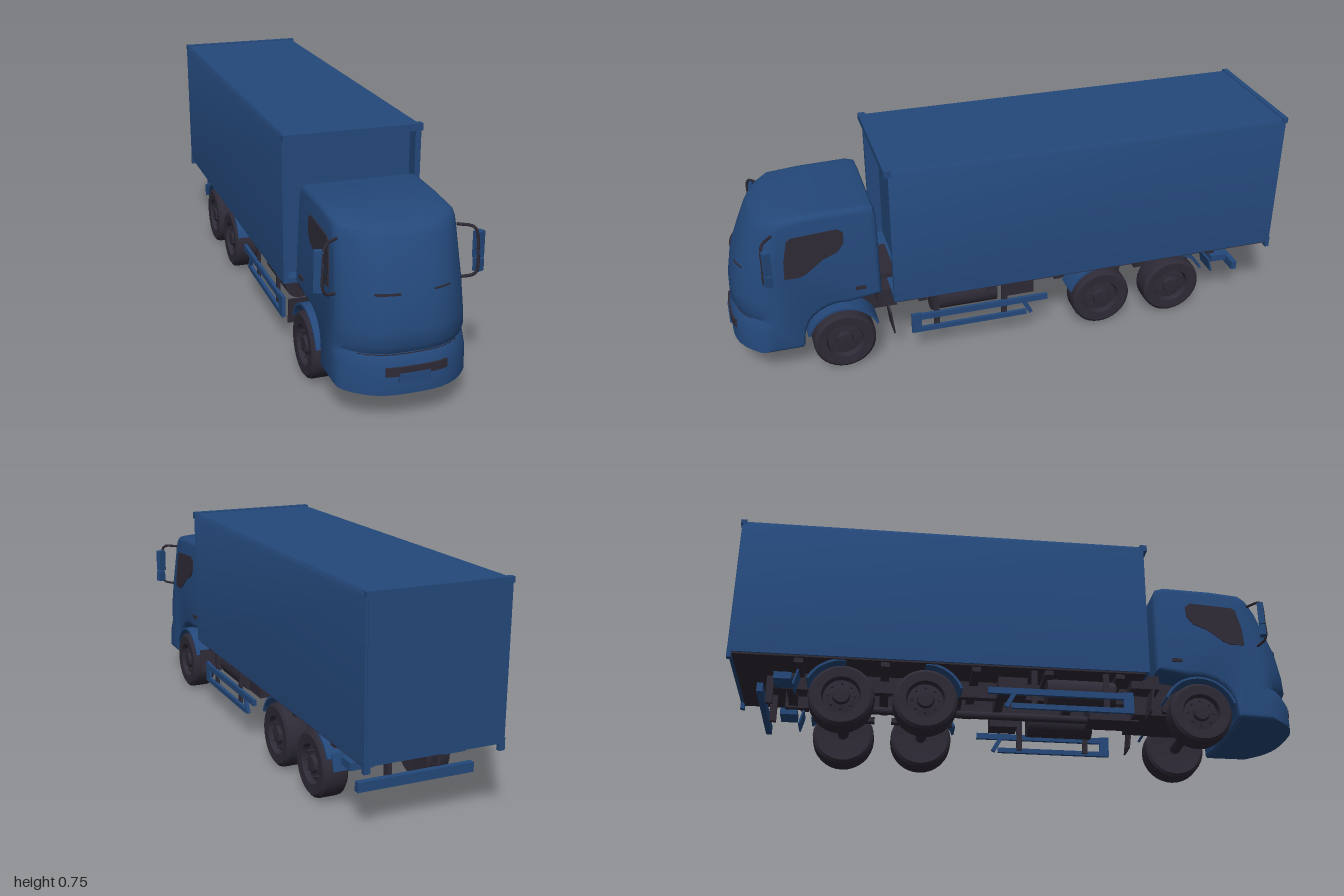
import * as THREE from 'three';
import { toCreasedNormals } from 'three/addons/utils/BufferGeometryUtils.js';

const paint = new THREE.MeshStandardMaterial({ color: 0x24487a, side: THREE.DoubleSide });
paint.name = 'blue paint';
const dark = new THREE.MeshStandardMaterial({ color: 0x2e2a36, side: THREE.DoubleSide });
dark.name = 'dark rubber and glass';

export function createModel() {
  const truck = new THREE.Group();
  truck.name = 'boxTruck';

  const add = (name, geo, mat, x = 0, y = 0, z = 0, parent = truck) => {
    const m = new THREE.Mesh(geo, mat);
    m.name = name;
    m.position.set(x, y, z);
    parent.add(m);
    return m;
  };
  const box = (name, mat, w, h, d, x, y, z, parent) =>
    add(name, new THREE.BoxGeometry(w, h, d), mat, x, y, z, parent);
  const points = (list) => list.map(([a, b]) => new THREE.Vector2(a, b));

  // Side profile drawn as (z, y), extruded across x and centred on x = 0
  const sideExtrude = (shape, width, bevel = 0, steps = 1) => {
    const g = new THREE.ExtrudeGeometry(shape, {
      depth: width - 2 * bevel, steps, curveSegments: 14,
      bevelEnabled: bevel > 0, bevelSize: bevel, bevelThickness: bevel, bevelOffset: -bevel, bevelSegments: 3,
    });
    g.translate(0, 0, -(width - 2 * bevel) / 2);
    return g.rotateY(-Math.PI / 2);
  };

  // Rounds the cab nose in plan and narrows the cab towards the roof
  const shapeCab = (g) => {
    const p = g.attributes.position;
    for (let i = 0; i < p.count; i++) {
      const x = p.getX(i), y = p.getY(i), z = p.getZ(i);
      const nose = THREE.MathUtils.smoothstep(z, 0.72, 1);
      p.setX(i, x * (1 - 0.2 * (y - 0.1)));
      p.setZ(i, z - 0.1 * nose * Math.pow(Math.abs(x) / 0.21, 3));
    }
    return toCreasedNormals(g, 0.6);
  };

  // Cab body with the front wheel arch cut out
  const cab = new THREE.Group();
  cab.name = 'cab';
  truck.add(cab);
  const profile = new THREE.Shape(points([
    [1.0, 0.1], [1.0, 0.185], [0.985, 0.215], [0.978, 0.225], [0.992, 0.25], [0.99, 0.3], [0.972, 0.4],
    [0.945, 0.47], [0.91, 0.55], [0.888, 0.58], [0.85, 0.595], [0.7, 0.605], [0.53, 0.61], [0.5, 0.6],
    [0.49, 0.57], [0.487, 0.27],
  ]));
  profile.absarc(0.63, 0.11, 0.145, 1.75, 0, true);
  profile.lineTo(0.785, 0.1);
  add('cabBody', shapeCab(sideExtrude(profile, 0.43, 0.018, 16)), paint, 0, 0, 0, cab);

  // Side windows
  const pane = new THREE.Shape(points([
    [0.875, 0.385], [0.868, 0.45], [0.83, 0.525], [0.8, 0.535], [0.625, 0.545], [0.605, 0.53],
    [0.607, 0.49], [0.63, 0.46], [0.68, 0.44], [0.74, 0.395], [0.77, 0.385],
  ]));
  for (const s of [-1, 1]) {
    const g = sideExtrude(pane, 0.006).translate(s * 0.2155, 0, 0);
    add(s > 0 ? 'leftWindow' : 'rightWindow', shapeCab(g), dark, 0, 0, 0, cab);
  }

  // Front trim follows the curved nose
  const trim = (name, mat, w, h, d, x, y, z) => add(name,
    shapeCab(new THREE.BoxGeometry(w, h, d, 12, 1, 1).translate(x, y, z)), mat, 0, 0, 0, cab);
  trim('bumperGrille', dark, 0.2, 0.028, 0.008, 0.01, 0.176, 1.0);
  trim('frontPlate', paint, 0.1, 0.03, 0.008, 0, 0.156, 1.003);
  trim('bumperSeam', dark, 0.32, 0.003, 0.006, 0, 0.222, 0.978);
  trim('leftWiper', dark, 0.06, 0.004, 0.008, 0.105, 0.41, 0.968);
  trim('rightWiper', dark, 0.08, 0.006, 0.008, -0.08, 0.408, 0.969);

  for (const s of [-1, 1]) {
    // Mirrors on a bent arm
    const mirror = new THREE.Group();
    mirror.name = s > 0 ? 'leftMirror' : 'rightMirror';
    cab.add(mirror);
    const arm = new THREE.CatmullRomCurve3([
      [0.19, 0.55, 0.84], [0.235, 0.545, 0.875], [0.245, 0.47, 0.88], [0.24, 0.4, 0.88], [0.195, 0.385, 0.86],
    ].map(([x, y, z]) => new THREE.Vector3(s * x, y, z)));
    add('mirrorArm', new THREE.TubeGeometry(arm, 20, 0.005, 6), dark, 0, 0, 0, mirror);
    box('mainMirror', paint, 0.03, 0.085, 0.022, s * 0.252, 0.488, 0.868, mirror).rotation.y = s * 0.4;
    box('lowerMirror', paint, 0.027, 0.04, 0.022, s * 0.254, 0.422, 0.868, mirror).rotation.y = s * 0.4;
    box('doorHandle', dark, 0.008, 0.012, 0.035, s * 0.208, 0.31, 0.56, cab);
    box('cabStep', dark, 0.03, 0.04, 0.08, s * 0.195, 0.135, 0.81, cab);
  }

  // Cargo box: hollow shell with recessed front wall
  const cargo = new THREE.Group();
  cargo.name = 'cargoBox';
  truck.add(cargo);
  const rim = new THREE.Shape(points([
    [-0.235, 0.245], [0.235, 0.245], [0.238, 0.735], [0.228, 0.752], [-0.228, 0.752], [-0.238, 0.735],
  ]));
  rim.holes.push(new THREE.Path(points([[-0.218, 0.262], [-0.218, 0.728], [0.218, 0.728], [0.218, 0.262]])));
  const shell = new THREE.ExtrudeGeometry(rim, { depth: 1.435, bevelEnabled: false });
  add('cargoShell', toCreasedNormals(shell, 0.7), paint, 0, 0, -0.983, cargo);
  box('frontWall', paint, 0.45, 0.48, 0.01, 0, 0.495, 0.4, cargo);
  box('rearDoors', paint, 0.46, 0.49, 0.01, 0, 0.495, -0.981, cargo);
  box('roofLip', paint, 0.476, 0.024, 0.025, 0, 0.743, 0.453, cargo);
  box('rearLip', paint, 0.476, 0.018, 0.02, 0, 0.746, -0.98, cargo);
  box('cargoFloor', dark, 0.46, 0.008, 1.41, 0, 0.243, -0.265, cargo);
  for (const s of [-1, 1]) box('rearCornerPost', paint, 0.02, 0.04, 0.015, s * 0.226, 0.243, -0.978, cargo);

  // Chassis frame, cross-members and drivetrain
  const chassis = new THREE.Group();
  chassis.name = 'chassis';
  truck.add(chassis);
  for (const s of [-1, 1]) box('frameRail', dark, 0.02, 0.06, 1.7, s * 0.085, 0.208, 0.04, chassis);
  for (const z of [0.42, 0.2, -0.05, -0.2, -0.46, -0.78]) {
    box('crossMember', dark, 0.17, 0.04, 0.03, 0, 0.205, z, chassis);
  }
  for (const z of [0.35, 0.1, -0.15, -0.46, -0.75]) box('floorBeam', dark, 0.44, 0.02, 0.03, 0, 0.232, z, chassis);
  box('engine', dark, 0.2, 0.14, 0.4, 0, 0.21, 0.62, chassis);
  box('gearbox', dark, 0.1, 0.09, 0.18, 0, 0.18, 0.36, chassis);
  box('rearOfCabGear', dark, 0.34, 0.05, 0.1, 0, 0.235, 0.45, chassis);
  add('driveShaft', new THREE.CylinderGeometry(0.014, 0.014, 0.9, 10).rotateX(Math.PI / 2), dark, 0, 0.15, -0.1, chassis);
  for (const [s, z] of [[1, 0.19], [-1, 0.22]]) {
    add('sideTank', new THREE.CylinderGeometry(0.05, 0.05, 0.24, 16).rotateX(Math.PI / 2), dark, s * 0.145, 0.185, z, chassis);
  }
  box('airTank', dark, 0.07, 0.06, 0.1, -0.145, 0.195, -0.02, chassis);
  box('batteryBox', dark, 0.07, 0.07, 0.1, 0.145, 0.19, -0.02, chassis);

  // Wheels: lathed tyre with recessed rim, hub and bolts
  const tyre = new THREE.LatheGeometry(points([
    [0, -0.04], [0.06, -0.04], [0.098, -0.044], [0.108, -0.036], [0.11, -0.025], [0.11, 0.025], [0.108, 0.036],
    [0.098, 0.044], [0.066, 0.042], [0.06, 0.024], [0.03, 0.028], [0.026, 0.04], [0, 0.042],
  ]), 32).rotateZ(-Math.PI / 2);
  const wheelGeo = toCreasedNormals(tyre, 0.7);
  const bolt = new THREE.CylinderGeometry(0.004, 0.004, 0.012, 6).rotateZ(Math.PI / 2);
  const axles = [['front', 0.63], ['middle', -0.32], ['rear', -0.6]];
  for (const [label, z] of axles) {
    add(label + 'Axle', new THREE.CylinderGeometry(0.02, 0.02, 0.32, 12).rotateZ(Math.PI / 2), dark, 0, 0.11, z, chassis);
    if (z < 0) add('differential', new THREE.SphereGeometry(0.045, 14, 10), dark, 0, 0.125, z, chassis);
    for (const s of [-1, 1]) {
      box('leafSpring', dark, 0.025, 0.018, 0.22, s * 0.11, 0.155, z, chassis);
      const wheel = new THREE.Group();
      wheel.name = label + (s > 0 ? 'LeftWheel' : 'RightWheel');
      wheel.position.set(s * 0.184, 0.11, z);
      if (s < 0) wheel.rotation.y = Math.PI;
      truck.add(wheel);
      add('tyre', wheelGeo, dark, 0, 0, 0, wheel);
      for (let i = 0; i < 8; i++) {
        const a = i * Math.PI / 4;
        add('wheelBolt', bolt, dark, 0.03, 0.045 * Math.cos(a), 0.045 * Math.sin(a), wheel);
      }
    }
  }

  // Curved mudguards, angles measured from the front
  const guard = (name, z, from, to) => {
    const sector = new THREE.Shape();
    sector.absarc(0, 0, 0.132, from, to, false);
    sector.absarc(0, 0, 0.124, to, from, true);
    const g = toCreasedNormals(sideExtrude(sector, 0.085), 0.6);
    for (const s of [-1, 1]) add(name, g, paint, s * 0.18, 0.112, z);
  };
  guard('frontMudguard', 0.63, 0.3, 2.75);
  guard('middleMudguard', -0.32, 0.35, 1.6);
  guard('rearMudguard', -0.6, 1.5, 2.7);

  for (const s of [-1, 1]) {
    box('frontMudflap', dark, 0.085, 0.09, 0.006, s * 0.18, 0.15, 0.46).rotation.x = 0.12;
    box('rearMudflap', paint, 0.085, 0.055, 0.006, s * 0.18, 0.17, -0.755).rotation.x = 0.25;
    box('tailLight', paint, 0.08, 0.025, 0.06, s * 0.16, 0.182, -0.8);

    // Side guard rails and posts
    const rails = new THREE.Group();
    rails.name = s > 0 ? 'leftSideGuard' : 'rightSideGuard';
    truck.add(rails);
    box('upperRail', paint, 0.012, 0.022, 0.5, s * 0.218, 0.155, 0.14, rails);
    box('lowerRail', paint, 0.012, 0.018, 0.42, s * 0.218, 0.102, 0.18, rails);
    box('frontPanel', paint, 0.012, 0.075, 0.035, s * 0.218, 0.132, 0.375, rails);
    box('rearPost', paint, 0.012, 0.075, 0.015, s * 0.218, 0.13, -0.03, rails).rotation.x = 0.5;
    for (const z of [0.3, 0.05]) box('railBracket', dark, 0.01, 0.14, 0.02, s * 0.21, 0.17, z, rails);

    // Rear underrun bar supports
    box('underrunBracket', dark, 0.015, 0.1, 0.025, s * 0.085, 0.175, -0.85);
  }
  box('rearUnderrunBar', paint, 0.4, 0.032, 0.02, 0, 0.135, -0.87);

  return truck;
}
